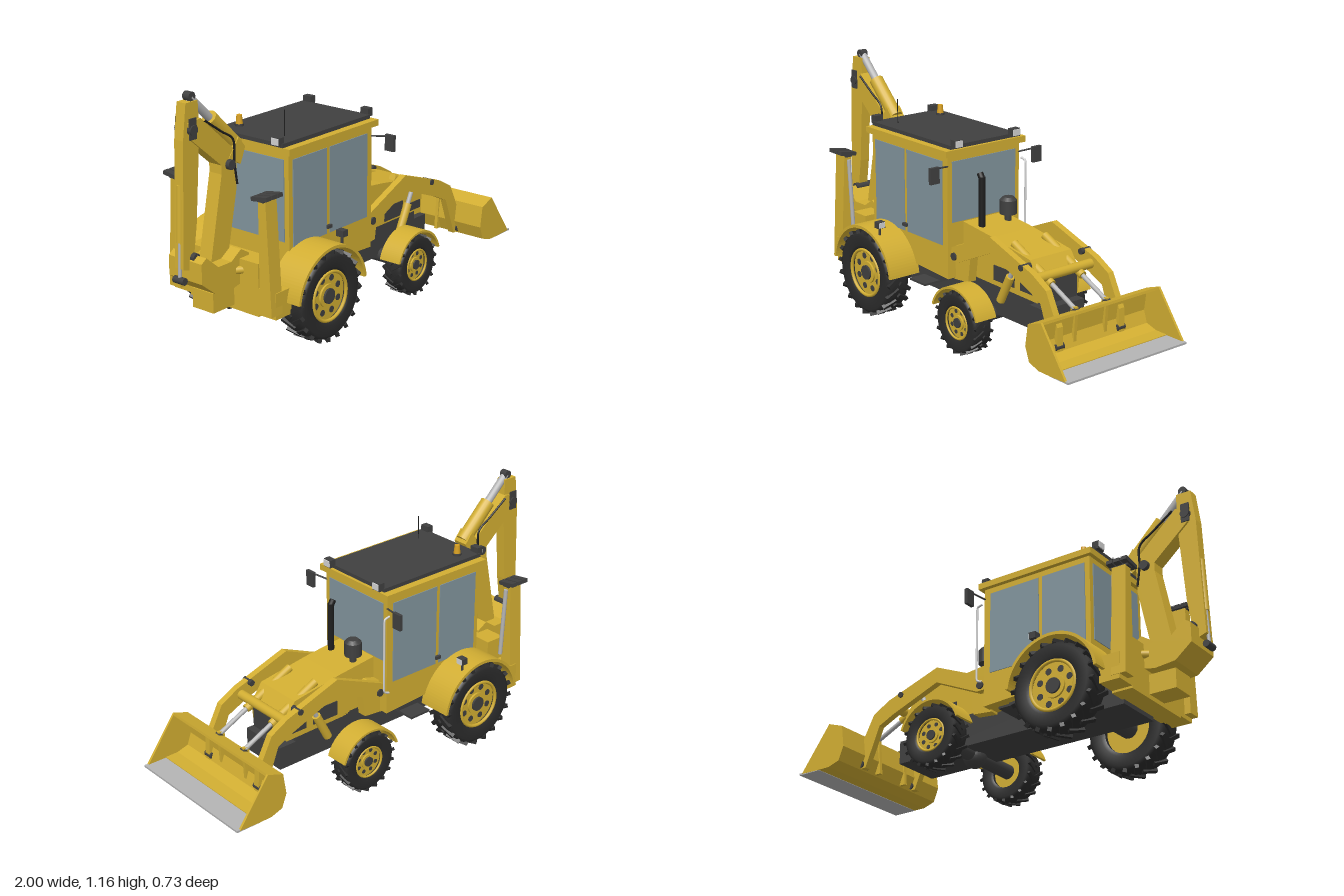
import * as THREE from 'three';
import { mergeGeometries } from 'three/addons/utils/BufferGeometryUtils.js';

const flat = (name, color, side = THREE.FrontSide) => {
  const m = new THREE.MeshStandardMaterial({ color, side });
  m.name = name;
  return m;
};

export function createModel() {
  const yellow = flat('yellow paint', 0xd2ae32, THREE.DoubleSide);
  const dark = flat('dark grey', 0x404040);
  const rubber = flat('tyre rubber', 0x2b2b2b);
  const black = flat('black pipe', 0x1e1e1e);
  const steel = flat('bare steel', 0xb4b4b4);
  const lamp = flat('lamp lens', 0xd4d4d4);
  const glass = flat('tinted glass', 0x82959d);
  const amber = flat('amber beacon', 0xd8a020);

  const model = new THREE.Group();
  model.name = 'machine';
  const add = (name, geo, mat, parent = model) => {
    const m = new THREE.Mesh(geo, mat);
    m.name = name;
    parent.add(m);
    return m;
  };
  // Box from its limits
  const box = (name, mat, x0, x1, y0, y1, z0, z1) => {
    const m = add(name, new THREE.BoxGeometry(x1 - x0, y1 - y0, Math.abs(z1 - z0)), mat);
    m.position.set((x0 + x1) / 2, (y0 + y1) / 2, (z0 + z1) / 2);
    return m;
  };
  // Cylinder between two points
  const rod = (name, mat, a, b, r, r2 = r) => {
    const p = new THREE.Vector3(...a), q = new THREE.Vector3(...b), d = q.clone().sub(p);
    const m = add(name, new THREE.CylinderGeometry(r2, r, d.length(), 16), mat);
    m.position.copy(p).add(q).multiplyScalar(0.5);
    m.quaternion.setFromUnitVectors(new THREE.Vector3(0, 1, 0), d.normalize());
  };
  // Side outline (x, y) given thickness along z
  const plate = (name, mat, pts, z0, z1) => {
    const shape = new THREE.Shape(pts.map(p => new THREE.Vector2(...p)));
    const lo = Math.min(z0, z1), hi = Math.max(z0, z1);
    const m = add(name, new THREE.ExtrudeGeometry(shape, { depth: hi - lo, bevelEnabled: false }), mat);
    m.position.z = lo;
    return m;
  };
  // Pin across the machine
  const pin = (name, x, y, z, half, r) => rod(name, dark, [x, y, z - half], [x, y, z + half], r);
  // Hydraulic cylinder: painted barrel and steel rod
  const ram = (name, a, b, r, split) => {
    const mid = a.map((v, i) => v + (b[i] - v) * split);
    rod(name + 'Barrel', yellow, a, mid, r);
    rod(name + 'Rod', steel, mid, b, r * 0.55);
  };
  // Curved mudguard around a wheel centre
  const fender = (name, x, y, r, t, a0, a1, z0, z1) => {
    const s = new THREE.Shape();
    s.absarc(x, y, r, a0, a1, false);
    s.absarc(x, y, r - t, a1, a0, true);
    const m = add(name, new THREE.ExtrudeGeometry(s, { depth: Math.abs(z1 - z0), bevelEnabled: false, curveSegments: 24 }), yellow);
    m.position.z = Math.min(z0, z1);
  };

  // Wheel: lathed tyre, chevron lugs, dished rim with holes
  const wheel = (name, x, y, z, s, R, w, rim, lugs) => {
    const g = new THREE.Group();
    g.name = name;
    g.position.set(x, y, z);
    model.add(g);
    const h = w / 2, T = R * 0.955;
    const prof = [[rim, -h * 0.8], [rim * 1.15, -h * 0.95], [T * 0.9, -h], [T * 0.98, -h * 0.85], [T, -h * 0.5], [T, h * 0.5],
      [T * 0.98, h * 0.85], [T * 0.9, h], [rim * 1.15, h * 0.95], [rim, h * 0.8], [rim, -h * 0.8]];
    add('tyre', new THREE.LatheGeometry(prof.map(p => new THREE.Vector2(...p)), 48), rubber, g).rotation.x = Math.PI / 2;
    const parts = [];
    for (let i = 0; i < lugs; i++) for (const k of [1, -1]) {
      const b = new THREE.BoxGeometry(R * 0.09, R * 0.09, h * 1.15);
      b.rotateY(k * 0.6);
      b.translate(0, R * 0.955, k * h * 0.5);
      b.rotateZ((i + (k > 0 ? 0 : 0.5)) / lugs * Math.PI * 2);
      parts.push(b);
    }
    add('treadLugs', mergeGeometries(parts), rubber, g);
    const disc = (n, mat, r, z0, z1, px = 0, py = 0) => {
      const m = add(n, new THREE.CylinderGeometry(r, r, z1 - z0, 28), mat, g);
      m.rotation.x = Math.PI / 2;
      m.position.set(px, py, s * (z0 + z1) / 2);
    };
    disc('rimDisc', yellow, rim, -h * 0.5, h * 0.55);
    add('rimLip', new THREE.TorusGeometry(rim * 0.97, rim * 0.07, 8, 36), yellow, g).position.z = s * h * 0.82;
    for (let i = 0; i < 8; i++) {
      const a = (i + 0.5) * Math.PI / 4;
      disc('rimHole', dark, rim * 0.13, h * 0.5, h * 0.58, Math.cos(a) * rim * 0.7, Math.sin(a) * rim * 0.7);
    }
    disc('hub', yellow, rim * 0.46, h * 0.5, h * 0.7);
    disc('hubCap', dark, rim * 0.3, h * 0.6, h * 0.85);
  };

  // Chassis and axles
  box('chassis', dark, -0.63, 0.5, 0.15, 0.3, -0.12, 0.12);
  box('frontWeight', dark, 0.5, 0.59, 0.15, 0.26, -0.12, 0.12);
  rod('rearAxle', dark, [-0.42, 0.21, -0.28], [-0.42, 0.21, 0.28], 0.045);
  rod('frontAxle', dark, [0.245, 0.15, -0.27], [0.245, 0.15, 0.27], 0.035);
  add('differential', new THREE.SphereGeometry(0.055, 20, 14), dark).position.set(0.245, 0.145, 0);

  // Engine hood
  plate('hood', yellow, [[0.03, 0.29], [0.55, 0.28], [0.56, 0.38], [0.5, 0.465], [0.25, 0.505], [0.03, 0.53]], -0.12, 0.12);
  box('grille', dark, 0.555, 0.565, 0.27, 0.385, -0.1, 0.1);
  rod('exhaustPipe', black, [0.125, 0.48, 0.08], [0.125, 0.75, 0.08], 0.015);
  rod('exhaustTip', black, [0.125, 0.74, 0.08], [0.11, 0.765, 0.08], 0.015);
  rod('airIntake', dark, [0.125, 0.5, -0.075], [0.125, 0.56, -0.075], 0.016);
  rod('airCleaner', dark, [0.125, 0.55, -0.075], [0.125, 0.615, -0.075], 0.04);
  rod('airCleanerCap', dark, [0.125, 0.615, -0.075], [0.125, 0.63, -0.075], 0.04, 0.025);

  // Cab with glazing and roof
  plate('cabBody', yellow, [[-0.53, 0.3], [0.04, 0.27], [0.04, 0.87], [-0.53, 0.87]], -0.21, 0.21);
  box('windscreen', glass, 0.038, 0.044, 0.535, 0.82, -0.185, 0.185);
  box('rearWindow', glass, -0.534, -0.528, 0.45, 0.82, -0.185, 0.185);
  box('roof', yellow, -0.55, 0.06, 0.848, 0.877, -0.232, 0.232);
  box('roofPanel', dark, -0.55, 0.045, 0.877, 0.895, -0.195, 0.195);
  rod('beaconBase', dark, [-0.455, 0.89, -0.137], [-0.455, 0.905, -0.137], 0.02);
  rod('beacon', amber, [-0.455, 0.905, -0.137], [-0.455, 0.945, -0.137], 0.016, 0.012);
  rod('antenna', black, [-0.45, 0.89, 0.12], [-0.45, 1.01, 0.12], 0.002);
  const rail = new THREE.CatmullRomCurve3([[0.04, 0.77], [0.07, 0.76], [0.07, 0.58], [0.07, 0.4], [0.04, 0.385]]
    .map(p => new THREE.Vector3(p[0], p[1], -0.225)), false, 'catmullrom', 0.1);
  add('handrail', new THREE.TubeGeometry(rail, 30, 0.005, 8), lamp);

  for (const s of [1, -1]) {
    // Side windows, door handle, step
    box('rearSideWindow', glass, -0.505, -0.28, 0.425, 0.82, s * 0.207, s * 0.214);
    box('doorWindow', glass, -0.26, 0.005, 0.425, 0.82, s * 0.207, s * 0.214);
    box('doorHandle', dark, -0.285, -0.255, 0.45, 0.465, s * 0.21, s * 0.225);
    box('step', dark, -0.19, -0.075, 0.215, 0.225, s * 0.12, s * 0.255);
    box('stepHanger', dark, -0.2, -0.07, 0.22, 0.29, s * 0.11, s * 0.17);
    // Roof and fender lamps
    for (const [x, d] of [[0.055, 1], [-0.55, -1]]) {
      box('roofLamp', dark, x - 0.016, x + 0.016, 0.885, 0.922, s * 0.145, s * 0.19);
      const lx = x + d * 0.018;
      box('roofLampLens', lamp, lx - 0.003, lx + 0.003, 0.89, 0.919, s * 0.148, s * 0.187);
    }
    box('fenderLamp', dark, -0.335, -0.302, 0.452, 0.482, s * 0.31, s * 0.348);
    box('fenderLampLens', lamp, -0.303, -0.298, 0.455, 0.48, s * 0.313, s * 0.345);
    rod('fenderLampStem', dark, [-0.32, 0.41, s * 0.33], [-0.32, 0.455, s * 0.33], 0.006);
    // Mirrors
    rod('mirrorArm', dark, [0.035, 0.8, s * 0.2], [0.06, 0.81, s * 0.3], 0.004);
    box('mirror', dark, 0.052, 0.068, 0.742, 0.817, s * 0.275, s * 0.324);
    // Wheels and mudguards
    wheel('rearWheel', -0.42, 0.207, s * 0.293, s, 0.207, 0.125, 0.115, 20);
    wheel('frontWheel', 0.245, 0.147, s * 0.283, s, 0.145, 0.1, 0.075, 18);
    fender('rearFender', -0.42, 0.21, 0.232, 0.014, 0.12, Math.PI - 0.12, s * 0.2, s * 0.366);
    fender('frontFender', 0.245, 0.15, 0.166, 0.01, 0.3, Math.PI - 0.3, s * 0.228, s * 0.34);

    // Front tower, lift arm and rams
    plate('armTower', yellow, [[0.03, 0.26], [0.13, 0.27], [0.15, 0.42], [0.1, 0.44], [0.03, 0.42]], s * 0.12, s * 0.165);
    plate('liftArm', yellow, [[0.04, 0.36], [0.09, 0.36], [0.32, 0.465], [0.57, 0.37], [0.655, 0.33], [0.73, 0.14],
      [0.77, 0.14], [0.765, 0.25], [0.69, 0.395], [0.6, 0.445], [0.32, 0.54], [0.05, 0.425]], s * 0.165, s * 0.197);
    pin('armPivot', 0.07, 0.385, s * 0.18, 0.024, 0.018);
    pin('armTipPin', 0.755, 0.16, s * 0.18, 0.024, 0.016);
    pin('linkPin', 0.53, 0.455, s * 0.175, 0.028, 0.014);
    ram('liftRam', [0.34, 0.24, s * 0.15], [0.44, 0.44, s * 0.15], 0.02, 0.65);
    box('hoodVent', dark, 0.26, 0.4, 0.31, 0.38, s * 0.118, s * 0.124);
    box('hoodFrontVent', dark, 0.44, 0.54, 0.31, 0.35, s * 0.118, s * 0.124);
    ram('tiltRam', [0.36, 0.5, s * 0.09], [0.765, 0.305, s * 0.09], 0.019, 0.62);
    plate('tiltBracket', yellow, [[0.725, 0.14], [0.76, 0.14], [0.77, 0.32], [0.74, 0.32]], s * 0.082, s * 0.098);
    pin('tiltPin', 0.765, 0.3, s * 0.09, 0.015, 0.014);

    // Stabiliser leg, its outline turned across the machine, with folded foot pad
    const leg = plate('stabiliserLeg', yellow, [[0.235, 0.2], [0.3, 0.2], [0.272, 0.71], [0.232, 0.71]].map(p => [s * p[0], p[1]]), 0, 0.07);
    leg.rotation.y = -Math.PI / 2;
    leg.position.set(-0.68, 0, 0);
    for (let i = 0; i < 3; i++) {
      const x = -0.755 + i * 0.036;
      box('footPad', dark, x - 0.015, x + 0.015, 0.712, 0.73, s * 0.21, s * 0.297).rotation.x = s * -0.15;
    }
    box('footPadBar', dark, -0.76, -0.67, 0.705, 0.72, s * 0.235, s * 0.27);
    rod('stabiliserRam', steel, [-0.665, 0.35, s * 0.24], [-0.675, 0.69, s * 0.25], 0.01);
    // Swing ram
    ram('swingRam', [-0.66, 0.36, s * 0.14], [-0.8, 0.36, s * 0.04], 0.018, 0.55);
  }

  // Cross tube between the lift arms
  rod('armCrossTube', yellow, [0.58, 0.41, -0.17], [0.58, 0.41, 0.17], 0.022);

  // Front bucket: folded shell, end plates, cutting edge
  const outer = [[0.83, 0.33], [0.75, 0.302], [0.735, 0.2], [0.76, 0.135], [0.82, 0.115], [0.89, 0.115]];
  const inner = [[0.89, 0.125], [0.825, 0.126], [0.768, 0.143], [0.748, 0.2], [0.76, 0.293], [0.832, 0.318]];
  plate('bucketShell', yellow, [...outer, ...inner], -0.348, 0.348);
  box('cuttingEdge', steel, 0.88, 1, 0.113, 0.122, -0.348, 0.348);
  for (const s of [1, -1]) plate('bucketSide', yellow, [...outer, [0.985, 0.118]], s * 0.338, s * 0.349);

  // Rear frame and swing post
  box('rearFrame', yellow, -0.72, -0.62, 0.17, 0.41, -0.2, 0.2);
  box('stabiliserBeam', yellow, -0.72, -0.62, 0.18, 0.3, -0.298, 0.298);
  box('swingPost', yellow, -0.85, -0.72, 0.19, 0.28, -0.06, 0.06);

  // Rear boom, dipper and their pins
  plate('boom', yellow, [[-0.84, 0.36], [-0.74, 0.34], [-0.665, 0.7], [-0.66, 0.86], [-0.87, 1.05], [-0.94, 1.04],
    [-0.93, 0.97], [-0.755, 0.82], [-0.755, 0.78]], -0.035, 0.035);
  plate('dipper', yellow, [[-0.985, 0.42], [-0.93, 0.4], [-0.9, 0.6], [-0.87, 1.0], [-0.875, 1.125], [-0.945, 1.125], [-0.965, 0.97]], -0.025, 0.025);
  for (const s of [1, -1]) plate('elbowPlate', dark, [[-0.94, 0.97], [-0.9, 0.97], [-0.9, 1.06], [-0.94, 1.06]], s * 0.034, s * 0.041);
  pin('elbowPin', -0.92, 1.01, 0, 0.046, 0.022);
  pin('dipperTopPin', -0.9, 1.143, 0, 0.018, 0.02);
  pin('boomPin', -0.71, 0.815, 0, 0.055, 0.022);
  pin('bucketPin', -0.925, 0.46, 0, 0.045, 0.02);
  pin('bucketLinkPin', -0.983, 0.368, 0, 0.03, 0.016);
  ram('dipperRam', [-0.63, 0.875, 0], [-0.9, 1.14, 0], 0.034, 0.58);
  plate('dipperRamMount', yellow, [[-0.71, 0.84], [-0.64, 0.8], [-0.61, 0.87], [-0.65, 0.92]], -0.038, 0.038);
  ram('bucketRam', [-0.965, 0.78, 0], [-0.983, 0.37, 0], 0.015, 0.6);
  for (const s of [1, -1]) {
    const path = [[-0.86, 1.04], [-0.76, 0.97], [-0.69, 0.92], [-0.685, 0.82], [-0.67, 0.72]];
    const curve = new THREE.CatmullRomCurve3(path.map(p => new THREE.Vector3(p[0], p[1], s * 0.044)));
    add('hose', new THREE.TubeGeometry(curve, 24, 0.005, 6), black);
  }

  // Digging bucket, curled against the boom
  const scoop = [[-0.95, 0.36], [-0.87, 0.295], [-0.77, 0.285], [-0.7, 0.3], [-0.655, 0.35], [-0.66, 0.42], [-0.71, 0.45],
    [-0.77, 0.41], [-0.85, 0.41], [-0.92, 0.47], [-0.95, 0.45]];
  plate('diggingBucket', yellow, scoop, -0.095, 0.095);

  return model;
}
